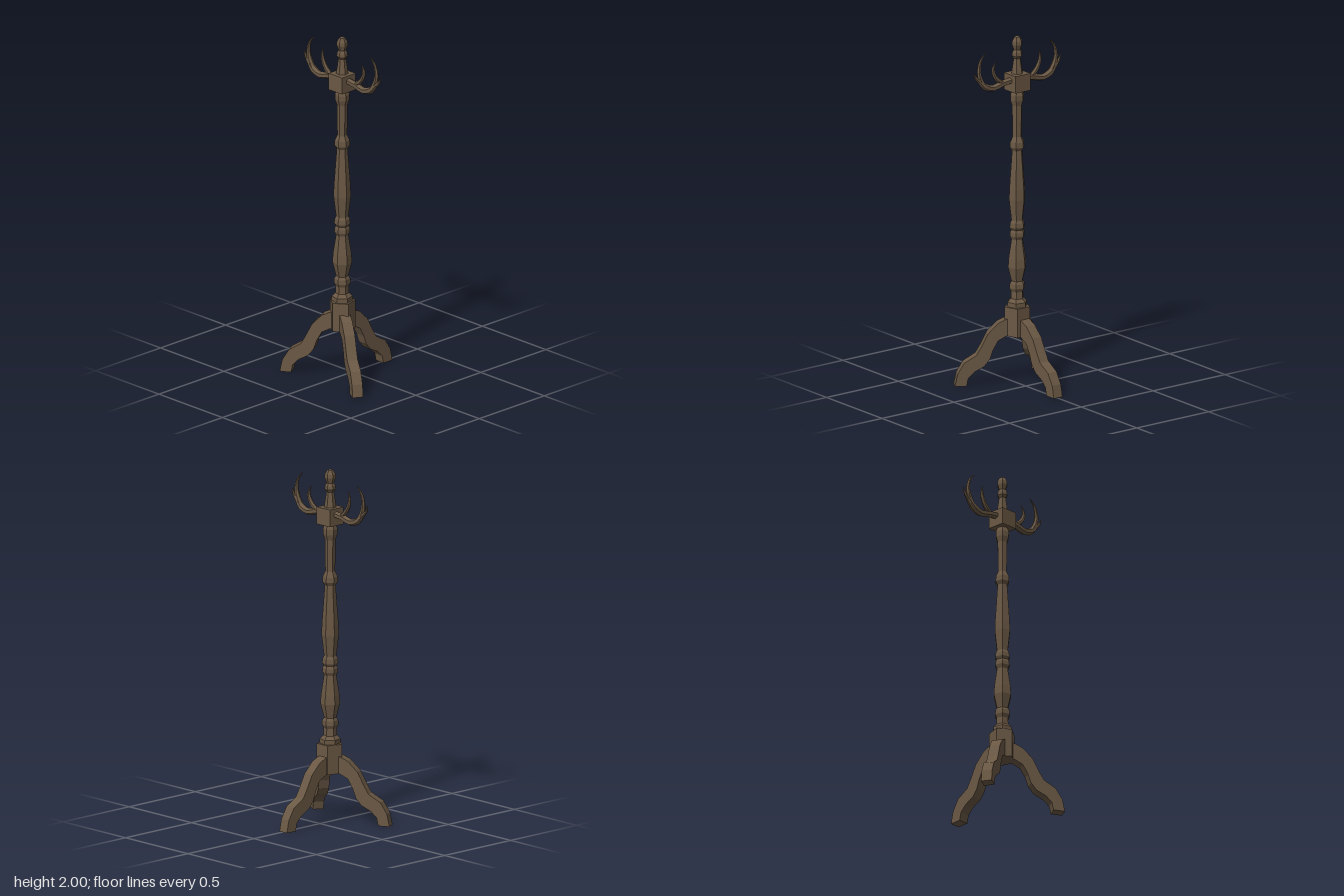
import * as THREE from 'three';

const AXIS_Z = 0.078; // the post stands forward of the centre

// Tapered branch through [x, y, radius] points in the plane z = 0
function branch(points, material, sides = 6) {
  const curve = new THREE.CatmullRomCurve3(points.map(([x, y]) => new THREE.Vector3(x, y, 0)));
  const rings = (points.length - 1) * 2;
  const pos = [], index = [];
  for (let i = 0; i <= rings; i++) {
    const t = i / rings;
    const p = curve.getPoint(t), d = curve.getTangent(t);
    const k = Math.min(Math.floor(i / 2), points.length - 2);
    const r = THREE.MathUtils.lerp(points[k][2], points[k + 1][2], i / 2 - k);
    for (let j = 0; j < sides; j++) {
      const a = (j / sides) * Math.PI * 2;
      pos.push(p.x - d.y * r * Math.cos(a), p.y + d.x * r * Math.cos(a), r * 1.15 * Math.sin(a));
    }
  }
  for (let i = 0; i < rings; i++) {
    for (let j = 0; j < sides; j++) {
      const a = i * sides + j, b = i * sides + (j + 1) % sides;
      index.push(a, a + sides, b, b, a + sides, b + sides);
    }
  }
  const geo = new THREE.BufferGeometry();
  geo.setAttribute('position', new THREE.Float32BufferAttribute(pos, 3));
  geo.setIndex(index);
  geo.computeVertexNormals();
  return new THREE.Mesh(geo, material);
}

export function createModel() {
  const wood = new THREE.MeshStandardMaterial({ color: 0x6a5844, side: THREE.DoubleSide, flatShading: true });
  wood.name = 'brown wood';
  const model = new THREE.Group();
  model.name = 'coatStand';
  const post = new THREE.Group();
  post.name = 'stand';
  post.position.z = AXIS_Z;
  model.add(post);

  const add = (parent, name, mesh) => {
    mesh.name = name;
    parent.add(mesh);
    return mesh;
  };
  const turned = (name, profile) => add(post, name, new THREE.Mesh(
    new THREE.LatheGeometry(profile.map(([r, y]) => new THREE.Vector2(r, y)), 6, Math.PI / 12), wood));

  // Turned column
  turned('column', [
    [0.058, 0.44], [0.058, 0.47], [0.038, 0.49], [0.036, 0.53], [0.046, 0.55], [0.044, 0.575],
    [0.034, 0.59], [0.054, 0.67], [0.051, 0.72], [0.034, 0.83], [0.044, 0.85], [0.043, 0.87],
    [0.036, 0.885], [0.045, 0.9], [0.042, 0.925], [0.034, 0.94], [0.048, 1.06], [0.046, 1.12],
    [0.03, 1.34], [0.043, 1.36], [0.041, 1.39], [0.027, 1.42], [0.03, 1.6],
    [0.04, 1.63], [0.041, 1.66], [0.03, 1.69],
  ]);

  // Turned finial
  turned('finial', [
    [0.034, 1.78], [0.03, 1.81], [0.021, 1.87], [0.031, 1.885], [0.029, 1.905], [0.02, 1.92],
    [0.031, 1.95], [0.03, 1.97], [0.017, 1.993], [0, 2],
  ]);

  // Blocks holding the legs and the hooks
  const hub = add(post, 'legBlock', new THREE.Mesh(new THREE.CylinderGeometry(0.075, 0.075, 0.165, 5), wood));
  hub.position.y = 0.3625;
  const head = add(post, 'hookBlock', new THREE.Mesh(new THREE.BoxGeometry(0.105, 0.097, 0.105), wood));
  head.position.y = 1.735;

  // Three curved legs, drawn sideways as [distance from axis, height]
  const outline = [
    [0.03, 0.38], [0.065, 0.377], [0.113, 0.355], [0.171, 0.297], [0.213, 0.217], [0.238, 0.175],
    [0.308, 0.133], [0.347, 0.07], [0.362, 0], [0.295, 0], [0.285, 0.045], [0.25, 0.08],
    [0.193, 0.11], [0.161, 0.15], [0.144, 0.2], [0.113, 0.255], [0.065, 0.28], [0.03, 0.28],
  ];
  const legShape = new THREE.Shape(outline.map(([x, y]) => new THREE.Vector2(x, y)));
  const legGeo = new THREE.ExtrudeGeometry(legShape, { depth: 0.06, bevelEnabled: false });
  legGeo.translate(0, 0, -0.03);
  [['backLeg', 90, 1], ['leftLeg', -30, 0.965], ['rightLeg', 210, 0.965]].forEach(([name, angle, length]) => {
    const leg = add(post, name, new THREE.Mesh(legGeo, wood));
    leg.rotation.y = THREE.MathUtils.degToRad(angle);
    leg.scale.x = length;
    if (name === 'backLeg') leg.position.x = -0.006;
  });

  // Antler-like hooks: a beam, a long tine and a short inner tine on each side
  for (const s of [1, -1]) {
    const side = s > 0 ? 'left' : 'right';
    const hook = new THREE.Group();
    hook.name = side + 'Hook';
    hook.position.z = -0.002;
    post.add(hook);
    const grow = (name, pts) => add(hook, side + name, branch(pts.map(([x, y, r]) => [s * x, y, r]), wood));
    grow('Beam', [
      [0.04, 1.75, 0.019], [0.11, 1.742, 0.019], [0.17, 1.727, 0.019], [0.225, 1.745, 0.019],
      [0.262, 1.783, 0.013], [0.287, 1.805, 0.008], [0.304, 1.842, 0.001],
    ]);
    grow('LongTine', [
      [0.23, 1.75, 0.015], [0.255, 1.79, 0.014], [0.268, 1.84, 0.011], [0.255, 1.9, 0.007], [0.217, 1.942, 0.001],
    ]);
    grow('InnerTine', s > 0
      ? [[0.1, 1.745, 0.013], [0.14, 1.772, 0.013], [0.163, 1.805, 0.011], [0.168, 1.84, 0.008], [0.15, 1.878, 0.001]]
      : [[0.09, 1.745, 0.013], [0.125, 1.775, 0.013], [0.148, 1.81, 0.011], [0.158, 1.85, 0.008], [0.15, 1.9, 0.001]]);
  }
  return model;
}
